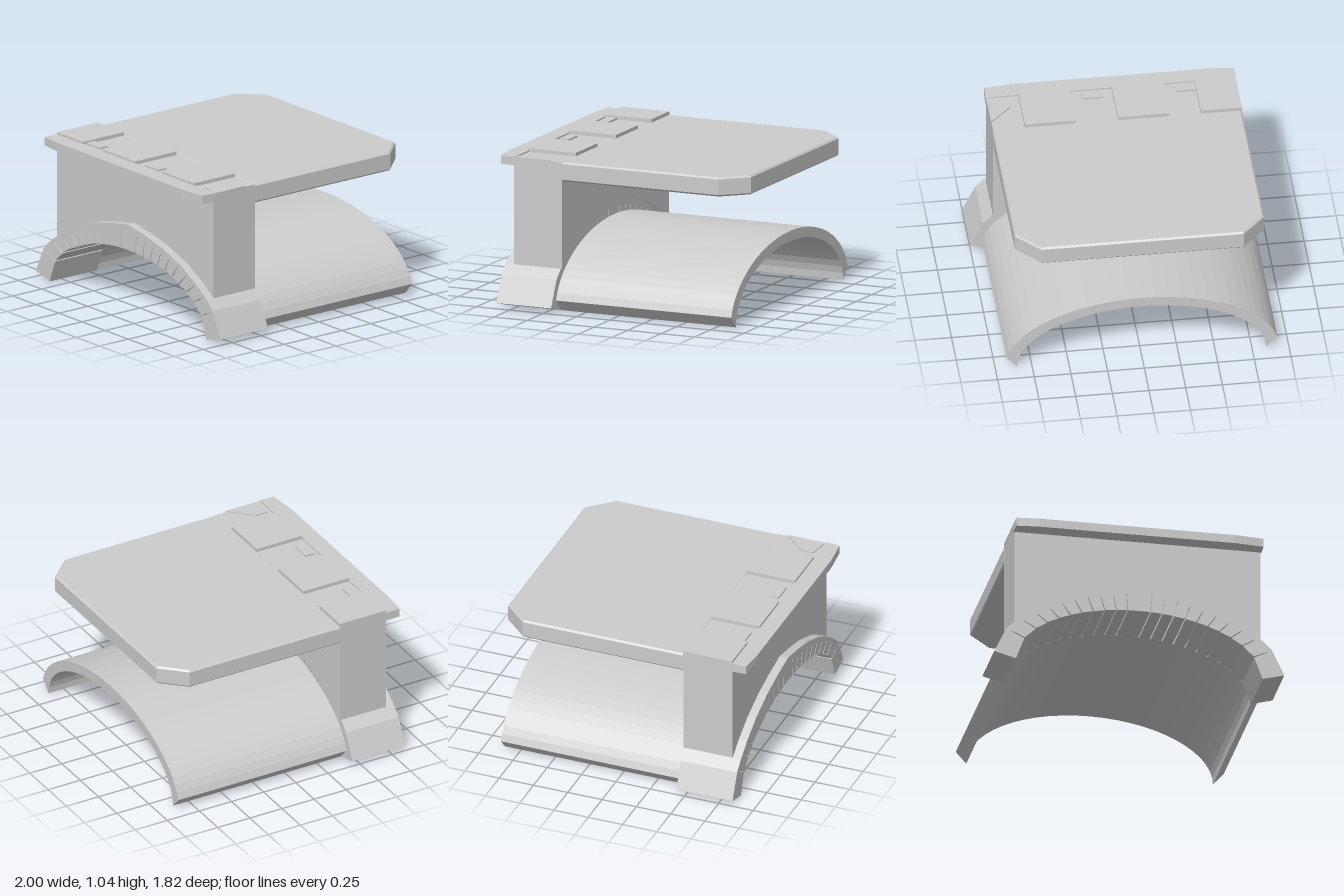
import * as THREE from 'three';

const material = new THREE.MeshStandardMaterial({ color: 0xcccccc, flatShading: true });
const V = (x, y) => new THREE.Vector2(x, y);

// Half profile of the arch ring's outer edge, from crown to foot
const OUTER = [[0, 0.61], [0.18, 0.578], [0.367, 0.535], [0.58, 0.455], [0.74, 0.364], [0.85, 0.283], [0.915, 0.22], [1, 0.04]];

function outerY(x) {
  const a = Math.abs(x);
  let i = 1;
  while (i < OUTER.length - 1 && OUTER[i][0] < a) i++;
  const [x0, y0] = OUTER[i - 1], [x1, y1] = OUTER[i];
  return y0 + (y1 - y0) * (a - x0) / (x1 - x0);
}
const innerY = (x) => 0.43 * Math.sqrt(Math.max(0, 1 - (x / 0.85) ** 2));

// Outer edge points from left foot to right foot, limited to |x| <= limit
function outerPoints(limit) {
  const half = OUTER.filter(([x]) => x < limit).map(([x, y]) => V(x, y));
  half.push(V(limit, outerY(limit)));
  const mirrored = half.slice(1).map((p) => V(-p.x, p.y));
  return [...half.reverse(), ...mirrored];
}

export function createModel() {
  const group = new THREE.Group();

  const add = (name, geometry) => {
    const mesh = new THREE.Mesh(geometry, material);
    mesh.name = name;
    group.add(mesh);
    return mesh;
  };
  // Front-facing outline pushed from z0 to z1
  const along = (name, points, z0, z1) => {
    const g = new THREE.ExtrudeGeometry(new THREE.Shape(points), { depth: z1 - z0, bevelEnabled: false });
    return add(name, g.translate(0, 0, z0));
  };
  // Plan outline (x, z) filled from y0 to y1, with an optional small bevel
  const plan = (name, points, y0, y1, bevel = 0) => {
    const g = new THREE.ExtrudeGeometry(new THREE.Shape(points.map(([x, z]) => V(x, z))), {
      depth: y1 - y0 - 2 * bevel, bevelEnabled: bevel > 0, bevelThickness: bevel,
      bevelSize: bevel, bevelOffset: -bevel, bevelSegments: 1,
    });
    return add(name, g.rotateX(Math.PI / 2).translate(0, y1 - bevel, 0));
  };
  const box = (name, x0, x1, y0, y1, z0, z1) => {
    const g = new THREE.BoxGeometry(x1 - x0, y1 - y0, z1 - z0);
    return add(name, g.translate((x0 + x1) / 2, (y0 + y1) / 2, (z0 + z1) / 2));
  };

  // Arch ring: the underside is cut by narrow radial joints between the stones
  const ring = outerPoints(1);
  ring.push(V(-0.85, 0));
  for (let k = -10; k <= 10; k++) {
    const x = k * 0.079;
    const y = innerY(x);
    if (k === 0) {
      ring.push(V(x, y));
      continue;
    }
    const top = V(x * 1.16, outerY(x * 1.16));
    const dir = top.clone().sub(V(x, y));
    const tip = V(x, y).addScaledVector(dir, 0.72);
    const side = V(dir.y, -dir.x).normalize().multiplyScalar(0.004);
    ring.push(V(x - side.x, y - side.y));
    ring.push(V(tip.x - side.x * 0.5, tip.y - side.y * 0.5));
    ring.push(V(tip.x + side.x * 0.5, tip.y + side.y * 0.5));
    ring.push(V(x + side.x, y + side.y));
  }
  ring.push(V(0.85, 0));
  along('archRing', ring, 0.44, 0.85);

  // Barrel vault running back from the ring
  const vault = [];
  const steps = 28;
  const start = Math.asin(0.08 / 0.5);
  for (let i = 0; i <= steps; i++) {
    const t = start + (Math.PI - 2 * start) * i / steps;
    vault.push(V(0.935 * Math.cos(t), 0.5 * Math.sin(t)));
  }
  for (let i = steps; i >= 0; i--) {
    const t = Math.PI * i / steps;
    vault.push(V(0.85 * Math.cos(t), 0.43 * Math.sin(t)));
  }
  along('vault', vault, -0.87, 0.44);

  // Wall standing on the ring
  const wall = [V(0.848, 1.02), V(-0.848, 1.02), ...outerPoints(0.848).reverse()];
  along('wall', wall, 0.43, 0.79);

  // Deck slab with cut back corners
  plan('deck', [[-0.85, 0.44], [-0.85, -0.74], [-0.69, -0.91], [0.69, -0.91], [0.85, -0.74], [0.85, 0.44]], 0.89, 1.022, 0.012);

  // Overhanging front ledge, slightly drawn in at its ends
  plan('frontLedge', [[-0.855, 0.78], [0.855, 0.78], [0.85, 0.885], [0.65, 0.905], [-0.7, 0.905], [-0.855, 0.89]], 0.97, 1.03);

  // Raised paving tiles
  for (const [x0, x1] of [[-0.85, -0.57], [-0.355, -0.005], [0.285, 0.63]]) {
    box('pavingTile', x0, x1, 1.01, 1.045, 0.43, 0.787);
  }

  // Low blocks between the tiles
  for (const x of [-0.57, 0.065]) {
    box('smallBlock', x, x + 0.143, 1.01, 1.032, 0.685, 0.757);
  }
  plan('cornerBlock', [[0.7, 0.66], [0.85, 0.51], [0.85, 0.78], [0.7, 0.75]], 1.01, 1.028);

  return group;
}
